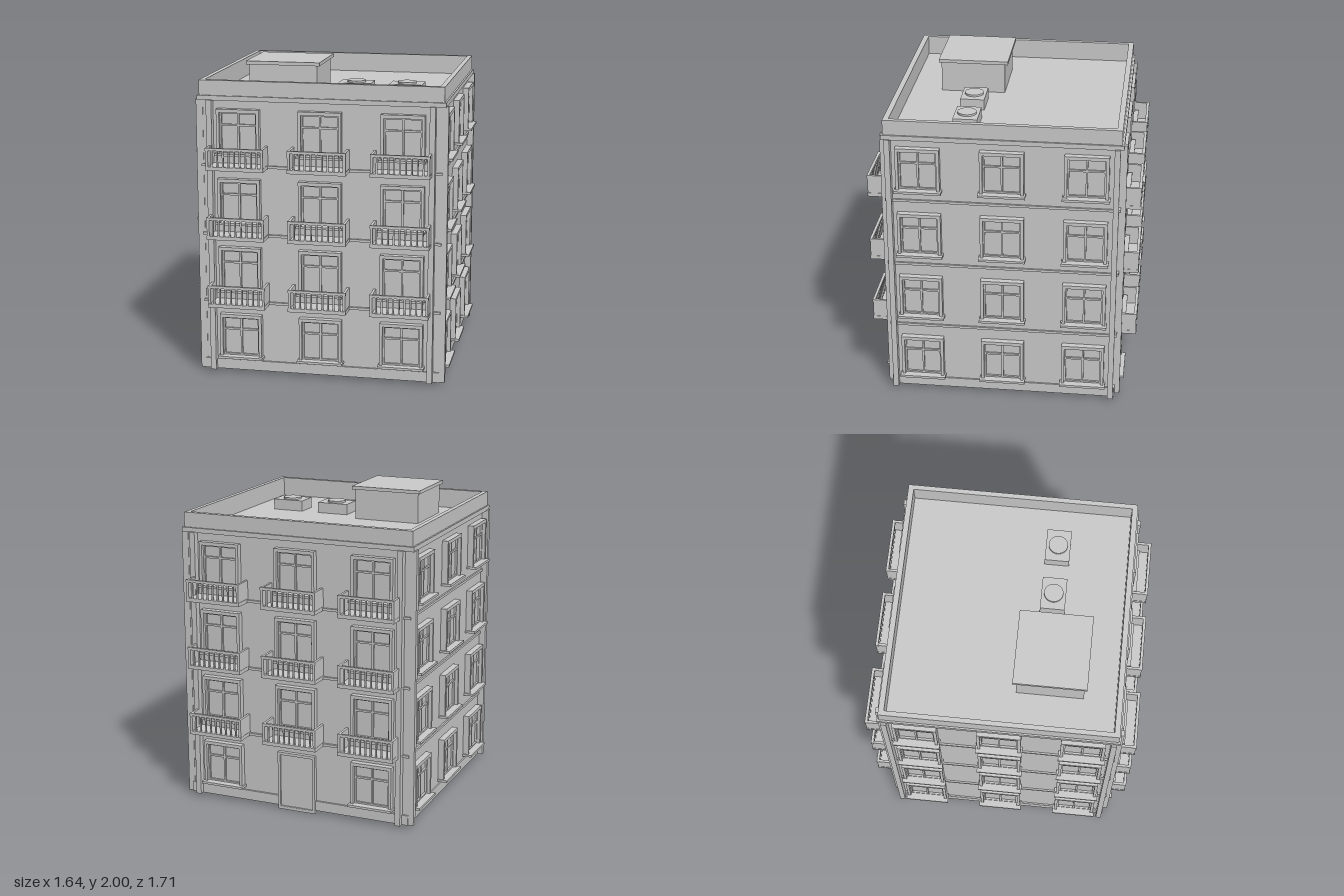
import * as THREE from 'three';

const plaster = new THREE.MeshStandardMaterial({ color: 0xcccccc });
plaster.name = 'grey plaster';

const HX = 0.752, HZ = 0.717;         // half width and half depth of the walls
const FLOOR = 0.444, ROOF = 1.78;     // storey pitch and roof deck level
const BAYS = [-0.52, 0, 0.52];

function add(parent, name, geometry) {
  const mesh = new THREE.Mesh(geometry, plaster);
  mesh.name = name;
  parent.add(mesh);
  return mesh;
}

// Box given by its two extreme corners
function box(parent, name, x0, x1, y0, y1, z0, z1) {
  const mesh = add(parent, name, new THREE.BoxGeometry(x1 - x0, y1 - y0, z1 - z0));
  mesh.position.set((x0 + x1) / 2, (y0 + y1) / 2, (z0 + z1) / 2);
  return mesh;
}

// Rectangular outline extruded along +z, with an opening
function frame(parent, name, hw, y0, y1, ihw, iy0, iy1, depth) {
  const rect = (P, w, a, b) => {
    const p = new P();
    p.moveTo(-w, a);
    p.lineTo(w, a);
    p.lineTo(w, b);
    p.lineTo(-w, b);
    p.closePath();
    return p;
  };
  const shape = rect(THREE.Shape, hw, y0, y1);
  shape.holes.push(rect(THREE.Path, ihw, iy0, iy1));
  return add(parent, name, new THREE.ExtrudeGeometry(shape, { depth, bevelEnabled: false }));
}

// Horizontal ring of wall around the building
function ring(parent, name, hx, hz, ihx, ihz, y0, y1) {
  const mesh = frame(parent, name, hx, -hz, hz, ihx, -ihz, ihz, y1 - y0);
  mesh.rotation.x = -Math.PI / 2;
  mesh.position.y = y0;
}

// Window facing +z, wall plane at z = 0, floor base at y = 0
function makeWindow() {
  const g = new THREE.Group();
  g.name = 'window';
  frame(g, 'windowSurround', 0.137, 0.12, 0.397, 0.118, 0.12, 0.375, 0.04);
  frame(g, 'windowSash', 0.118, 0.12, 0.375, 0.108, 0.13, 0.365, 0.018);
  box(g, 'windowMullion', -0.006, 0.006, 0.13, 0.365, 0, 0.018);
  box(g, 'windowTransom', -0.108, 0.108, 0.289, 0.301, 0, 0.017);
  box(g, 'windowPane', -0.11, 0.11, 0.125, 0.37, 0, 0.005);
  box(g, 'windowSill', -0.147, 0.147, 0.105, 0.12, 0, 0.066);
  return g;
}

// Balcony with thin solid cheeks and an open balustrade in front
function makeBalcony() {
  const g = new THREE.Group();
  g.name = 'balcony';
  const D = 0.138;
  box(g, 'balconySlab', -0.185, 0.185, 0.024, 0.048, 0, D);
  for (const s of [-1, 1]) {
    box(g, 'balconyCheek', s * 0.175 - 0.008, s * 0.175 + 0.008, 0.048, 0.166, 0, D - 0.003);
  }
  box(g, 'balconyHandrail', -0.185, 0.185, 0.15, 0.167, D - 0.018, D);
  for (let i = -4; i <= 4; i++) {
    box(g, 'baluster', i * 0.036 - 0.005, i * 0.036 + 0.005, 0.048, 0.15, D - 0.015, D - 0.005);
  }
  return g;
}

// Entrance door with surround, leaf and step
function makeDoor() {
  const g = new THREE.Group();
  g.name = 'door';
  frame(g, 'doorSurround', 0.13, 0.02, 0.39, 0.112, 0.02, 0.372, 0.026);
  box(g, 'doorLeaf', -0.112, 0.112, 0.02, 0.372, 0, 0.016);
  box(g, 'doorStep', -0.13, 0.13, 0, 0.022, -0.01, 0.024);
  return g;
}

// One facade facing +z at the given distance from the centre
function makeFacade(name, distance, angle, hasBalconies, hasDoor) {
  const turn = new THREE.Group();
  turn.name = name;
  const wall = new THREE.Group();
  wall.name = name + 'Wall';
  wall.position.z = distance;
  turn.add(wall);
  turn.rotation.y = angle;

  for (let level = 0; level < 4; level++) {
    for (const x of BAYS) {
      const unit = hasDoor && level === 0 && x === 0 ? makeDoor() : makeWindow();
      unit.position.set(x, level * FLOOR, 0);
      wall.add(unit);
      if (hasBalconies && level > 0) {
        const balcony = makeBalcony();
        balcony.position.set(x, level * FLOOR, 0);
        wall.add(balcony);
      }
    }
  }
  // Drainpipes near both corners
  for (const s of [-1, 1]) {
    box(wall, 'drainpipe', s * 0.703 - 0.0175, s * 0.703 + 0.0175, 0.02, 1.785, 0, 0.044);
  }
  return turn;
}

export function createModel() {
  const model = new THREE.Group();
  model.name = 'apartmentBuilding';

  // Walls, plinth and storey bands
  box(model, 'walls', -HX, HX, 0.02, ROOF, -HZ, HZ);
  box(model, 'plinth', -HX - 0.01, HX + 0.01, 0.02, 0.085, -HZ - 0.012, HZ + 0.012);
  for (let i = 1; i < 4; i++) {
    const y = i * FLOOR + 0.025;
    box(model, 'storeyBand', -HX - 0.011, HX + 0.011, y, y + 0.016, -HZ - 0.015, HZ + 0.015);
  }

  // Cornice and parapet
  ring(model, 'cornice', 0.783, 0.742, 0.741, 0.695, 1.78, 1.81);
  ring(model, 'parapet', 0.772, 0.73, 0.741, 0.695, 1.81, 1.905);

  // Facades
  model.add(makeFacade('frontFacade', HZ, 0, true, false));
  model.add(makeFacade('backFacade', HZ, Math.PI, true, true));
  model.add(makeFacade('leftFacade', HX, Math.PI / 2, false, false));
  model.add(makeFacade('rightFacade', HX, -Math.PI / 2, false, false));

  // Rooftop stair hut
  box(model, 'stairHut', -0.507, -0.068, ROOF, 1.98, 0.08, 0.495);
  box(model, 'stairHutRoof', -0.525, -0.05, 1.978, 2, 0.058, 0.51);

  // Rooftop air units with round fan caps
  for (const x of [0.14, 0.468]) {
    box(model, 'airUnit', x - 0.105, x + 0.105, ROOF, 1.85, 0.175, 0.329);
    const fan = add(model, 'airUnitFan', new THREE.CylinderGeometry(0.06, 0.06, 0.014, 24));
    fan.position.set(x, 1.855, 0.252);
  }
  return model;
}
